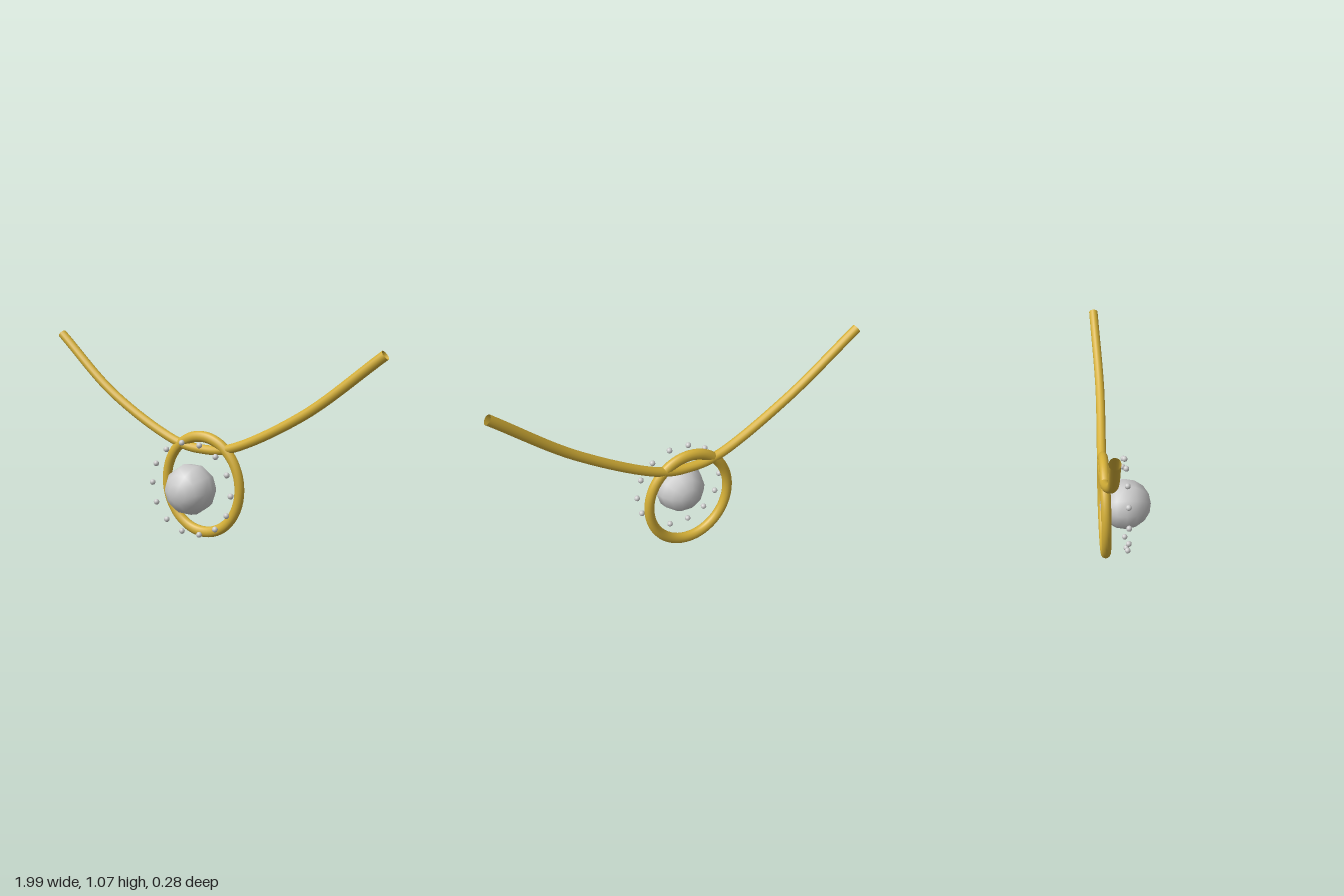
import * as THREE from 'three';

export function createModel() {
  const group = new THREE.Group();
  const gold = new THREE.MeshStandardMaterial({ color: 0xd4af37, side: THREE.DoubleSide });
  const pearl = new THREE.MeshStandardMaterial({ color: 0xcccccc });
  const centreY = 0.293;

  const add = (name, geometry, material, x, y, z) => {
    const mesh = new THREE.Mesh(geometry, material);
    mesh.name = name;
    mesh.position.set(x, y, z);
    group.add(mesh);
    return mesh;
  };

  // Open-ended neck cord, mirrored about x = 0
  const half = [[0.982, 1.05, -0.113], [0.585, 0.73, -0.099], [0.16, 0.508, -0.113]];
  const points = [
    ...half.map(([x, y, z]) => new THREE.Vector3(-x, y, z)),
    new THREE.Vector3(0, 0.487, -0.115),
    ...half.reverse().map(p => new THREE.Vector3(...p)),
  ];
  const path = new THREE.CatmullRomCurve3(points);
  add('neckCord', new THREE.TubeGeometry(path, 80, 0.025, 14), gold, 0, 0, 0);

  // Oval ring behind the stone
  const ring = add('pendantRing', new THREE.TorusGeometry(0.231, 0.026, 16, 64), gold, 0, centreY, -0.111);
  ring.scale.y = 1.14;

  // Large faceted-outline stone, pole facing forward
  const stone = new THREE.SphereGeometry(0.137, 10, 8).rotateX(Math.PI / 2);
  add('centreStone', stone, pearl, 0, centreY + 0.001, 0.002);

  // Small beads circling the stone
  const bead = new THREE.SphereGeometry(0.0155, 10, 8);
  const count = 14;
  for (let i = 0; i < count; i++) {
    const a = (i / count) * Math.PI * 2;
    add('bead' + (i + 1), bead, pearl, 0.247 * Math.cos(a), centreY + 0.002 + 0.248 * Math.sin(a), 0.003);
  }

  return group;
}
